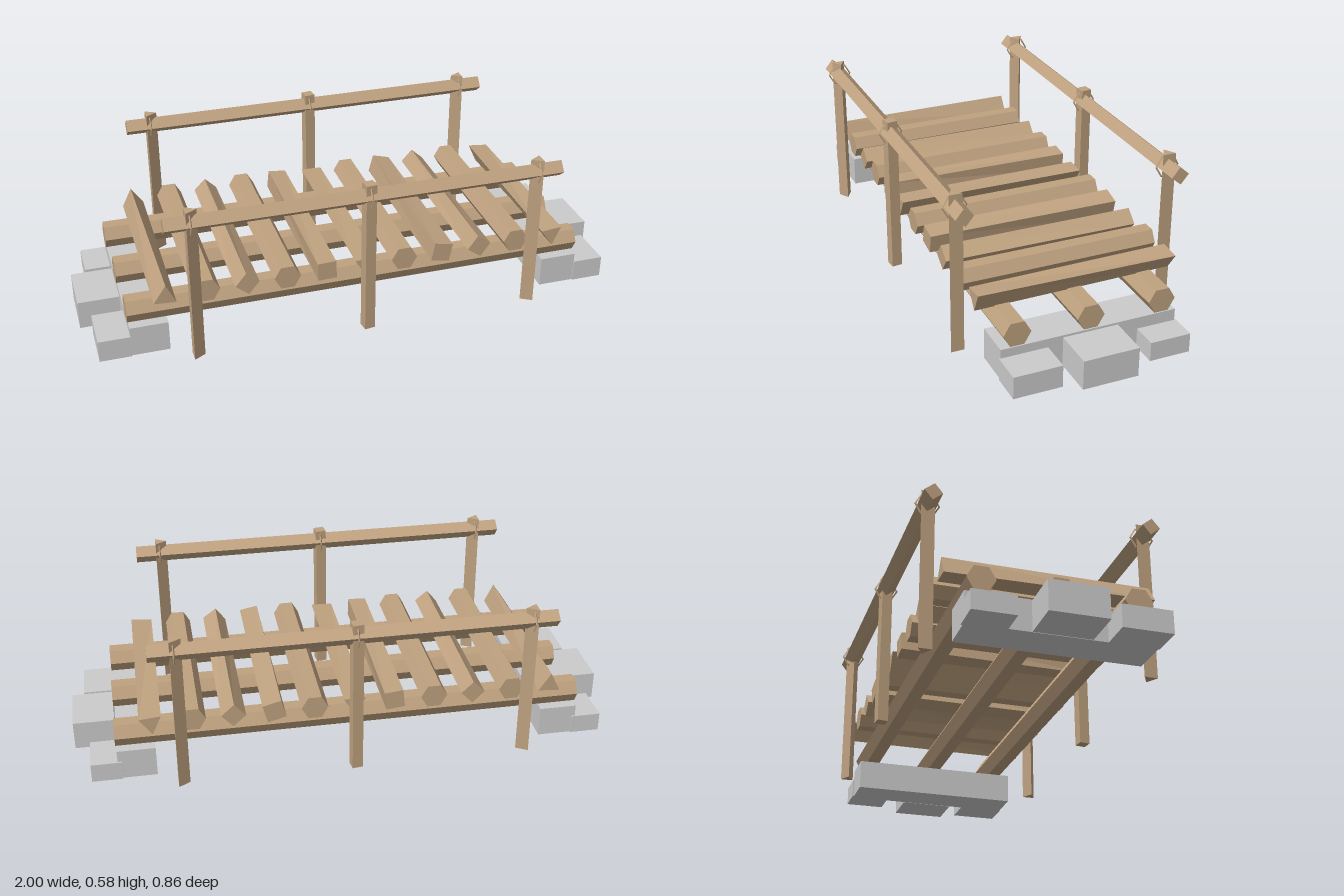
import * as THREE from 'three';

const wood = new THREE.MeshStandardMaterial({ color: 0xbfa280, flatShading: true });
const stone = new THREE.MeshStandardMaterial({ color: 0xcccccc, flatShading: true });
const rad = THREE.MathUtils.degToRad;

// Rough-hewn bar along z; its first corner lies at the given angle (degrees) from +x.
function bar(radius, length, sides, angle = 0, twist = 0) {
  const g = new THREE.CylinderGeometry(radius, radius, length, sides, 1, false, rad(angle + 90));
  g.rotateX(Math.PI / 2);
  const p = g.attributes.position;
  const v = new THREE.Vector3();
  const axis = new THREE.Vector3(0, 0, 1);
  for (let i = 0; i < p.count; i++) {
    v.fromBufferAttribute(p, i);
    v.applyAxisAngle(axis, rad(twist) * v.z / length);
    p.setXYZ(i, v.x, v.y, v.z);
  }
  g.computeVertexNormals();
  return g;
}

export function createModel() {
  const model = new THREE.Group();
  model.name = 'footbridge';
  const add = (name, geometry, material, x, y, z) => {
    const mesh = new THREE.Mesh(geometry, material);
    mesh.name = name;
    mesh.position.set(x, y, z);
    model.add(mesh);
  };

  // Three long bearer logs
  for (const z of [-0.263, 0, 0.263]) {
    add('bearerLog', bar(0.049, 1.7, 6).rotateY(Math.PI / 2), wood, 0, 0.161, z);
  }

  // Deck logs: [sides, corner angle, twist, radius]
  const deck = [
    [3, 90, -8, 0.046], [6, 0, 0, 0.047], [4, 3, 5, 0.043], [6, 0, 0, 0.048],
    [4, 43, 8, 0.048], [3, -90, 4, 0.046], [6, 0, 0, 0.048], [4, 32, 4, 0.049],
    [4, 6, 6, 0.044], [6, 0, 0, 0.047], [3, -90, 11, 0.045],
  ];
  deck.forEach(([sides, angle, twist, radius], i) => {
    add('deckLog', bar(radius, 0.72, sides, angle, twist), wood, (i - 5) * 0.144, 0.244, 0);
  });

  // Railings on both sides
  for (const side of [-1, 1]) {
    const z = side * 0.386;
    add('handrail', bar(0.032, 1.43, 4, 6).rotateY(Math.PI / 2), wood, 0, 0.537, z);
    // Posts: [x, sides, corner angle]
    for (const [x, sides, angle] of [[-0.626, 3, 0], [0, 4, 52], [0.626, 3, 180]]) {
      add('post', bar(0.0275, 0.585, sides, angle).rotateX(-Math.PI / 2), wood, x, 0.2925, z);
      add('lashing', new THREE.TorusGeometry(0.041, 0.004, 3, 6).rotateY(Math.PI / 2),
        wood, x, 0.537, z);
    }
  }

  // Stone abutments: [name, inner x, outer x, height, z min, z max]
  const blocks = [
    ['abutmentSill', 0.71, 0.847, 0.113, -0.318, 0.32],
    ['middleStone', 0.85, 1.0, 0.107, -0.1, 0.1],
    ['backStone', 0.832, 0.942, 0.07, -0.324, -0.176],
    ['frontStone', 0.845, 0.96, 0.081, 0.152, 0.325],
  ];
  for (const side of [-1, 1]) {
    for (const [name, x0, x1, h, z0, z1] of blocks) {
      add(name, new THREE.BoxGeometry(x1 - x0, h, z1 - z0), stone,
        side * (x0 + x1) / 2, h / 2, (z0 + z1) / 2);
    }
  }
  return model;
}
